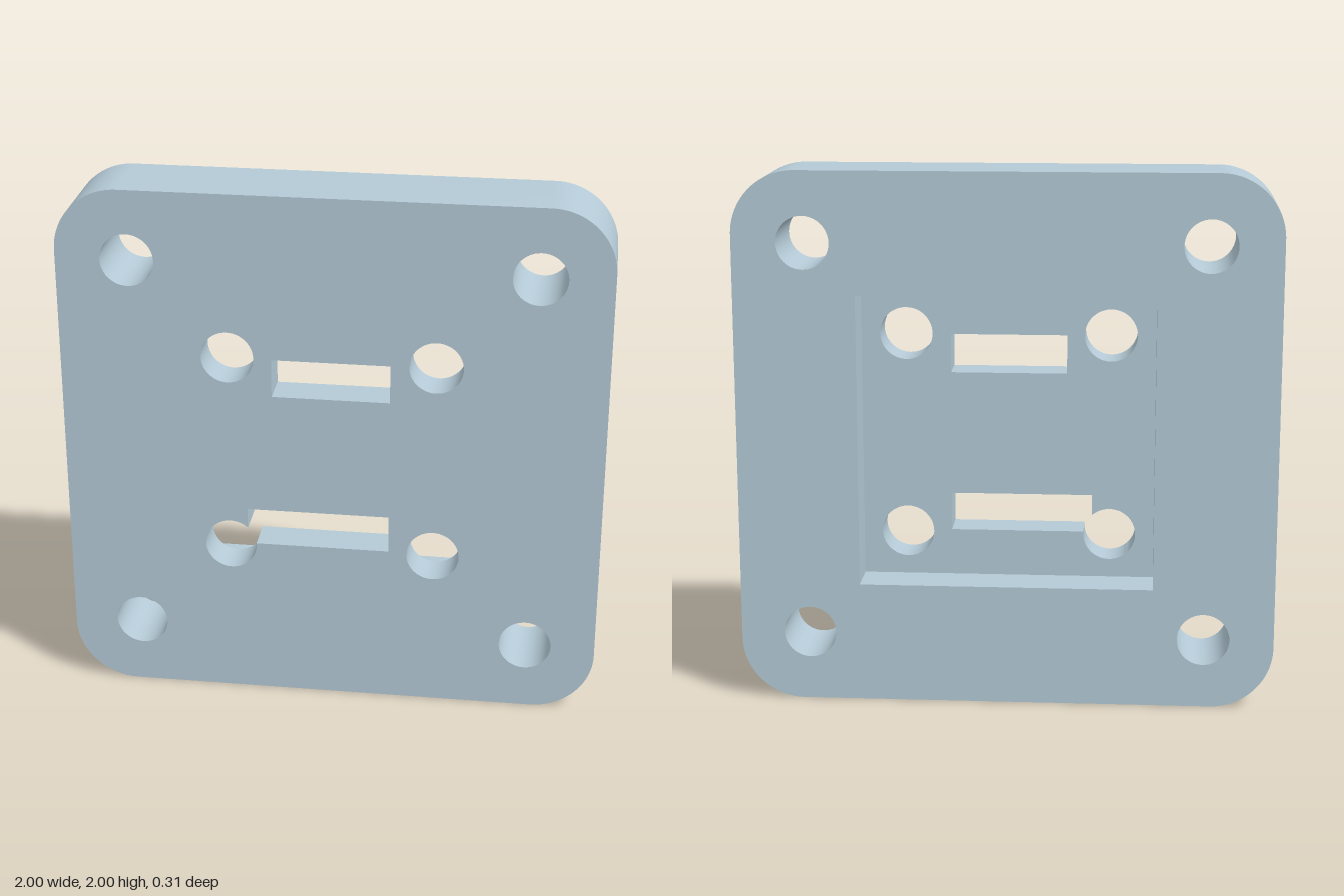
import * as THREE from 'three';
import { toCreasedNormals } from 'three/addons/utils/BufferGeometryUtils.js';

const SEG = 24;                       // segments per curve
const FRONT = 0.1525, BACK = -0.1525; // plate faces
const FLOOR = 0.0125;                 // bottom of the rear pocket
const CY = 1;                         // height of the plate centre
const HOLE_R = 0.098;

// Outline, counter-clockwise with rounded corners
function plateOutline(r) {
  const s = new THREE.Shape();
  [[1, -1], [1, 1], [-1, 1], [-1, -1]].forEach(([sx, sy], i) => {
    const start = (i - 1) * Math.PI / 2;
    s.absarc(sx * (1 - r), CY + sy * (1 - r), r, start, start + Math.PI / 2, false);
  });
  s.closePath();
  return s;
}

// Openings, clockwise so that their walls face inwards
function roundHole(x, y) {
  return new THREE.Path().absarc(x, y, HOLE_R, 0, -Math.PI * 2, true);
}
function rectangle(x0, y0, x1, y1) {
  return new THREE.Path().moveTo(x0, y0).lineTo(x0, y1).lineTo(x1, y1).lineTo(x1, y0).closePath();
}

// Slot running into a round hole at its left end
function keyedSlot(x0, y0, x1, y1, cx, cy) {
  const top = Math.acos((x0 - cx) / HOLE_R);
  const low = Math.asin((y0 - cy) / HOLE_R);
  const p = new THREE.Path();
  p.moveTo(x0, cy + HOLE_R * Math.sin(top)).lineTo(x0, y1).lineTo(x1, y1).lineTo(x1, y0);
  p.absarc(cx, cy, HOLE_R, low, top - Math.PI * 2, true);
  p.closePath();
  return p;
}

// Flat face with openings at depth z, facing front or back
function face(outline, holes, z, toBack) {
  const s = outline.clone();
  s.holes = holes;
  const g = new THREE.ShapeGeometry(s, SEG);
  if (toBack) {
    g.index.array.reverse();
    g.computeVertexNormals();
  }
  return g.translate(0, 0, z);
}

// Wall swept along a closed path between two depths
function wall(path, z0, z1) {
  const pts = path.getPoints(SEG).filter((p, i, all) => i === 0 || p.distanceTo(all[i - 1]) > 1e-5);
  if (pts[0].distanceTo(pts[pts.length - 1]) < 1e-5) pts.pop();
  const pos = [];
  pts.forEach((a, i) => {
    const b = pts[(i + 1) % pts.length];
    pos.push(a.x, a.y, z0, b.x, b.y, z0, b.x, b.y, z1);
    pos.push(a.x, a.y, z0, b.x, b.y, z1, a.x, a.y, z1);
  });
  const g = new THREE.BufferGeometry();
  g.setAttribute('position', new THREE.Float32BufferAttribute(pos, 3));
  return toCreasedNormals(g, Math.PI / 6);
}

export function createModel() {
  const model = new THREE.Group();
  model.name = 'mountingPlate';
  const material = new THREE.MeshStandardMaterial({ color: 0xb4cad6 });
  const add = (name, geometry) => {
    const mesh = new THREE.Mesh(geometry, material);
    mesh.name = name;
    model.add(mesh);
  };

  const outline = plateOutline(0.235);
  const half = 0.548, c = 0.738, d = 0.381;
  const pocket = rectangle(-half, CY - half, half, CY + half);
  const corners = [[-c, -c], [c, -c], [c, c], [-c, c]].map(([x, y]) => roundHole(x, CY + y));

  // Openings in the pocket floor: three round holes, a slot and a slot joined to the fourth hole
  const inner = [[d, -d], [d, d], [-d, d]].map(([x, y]) => roundHole(x, CY + y));
  inner.push(rectangle(-0.218, 1.235, 0.215, 1.38));
  inner.push(keyedSlot(-0.315, 0.627, 0.215, 0.77, -d, CY - d));

  // Faces
  add('frontFace', face(outline, [...corners, ...inner], FRONT, false));
  add('backFace', face(outline, [...corners, pocket], BACK, true));
  const floorShape = new THREE.Shape(pocket.getPoints().slice(0, 4).reverse());
  add('pocketFloor', face(floorShape, inner, FLOOR, true));

  // Walls
  add('outerEdge', wall(outline, BACK, FRONT));
  add('pocketWall', wall(pocket, BACK, FLOOR));
  corners.forEach((p) => add('cornerHole', wall(p, BACK, FRONT)));
  inner.forEach((p, i) => add(i < 3 ? 'innerHole' : 'slot', wall(p, FLOOR, FRONT)));
  return model;
}
